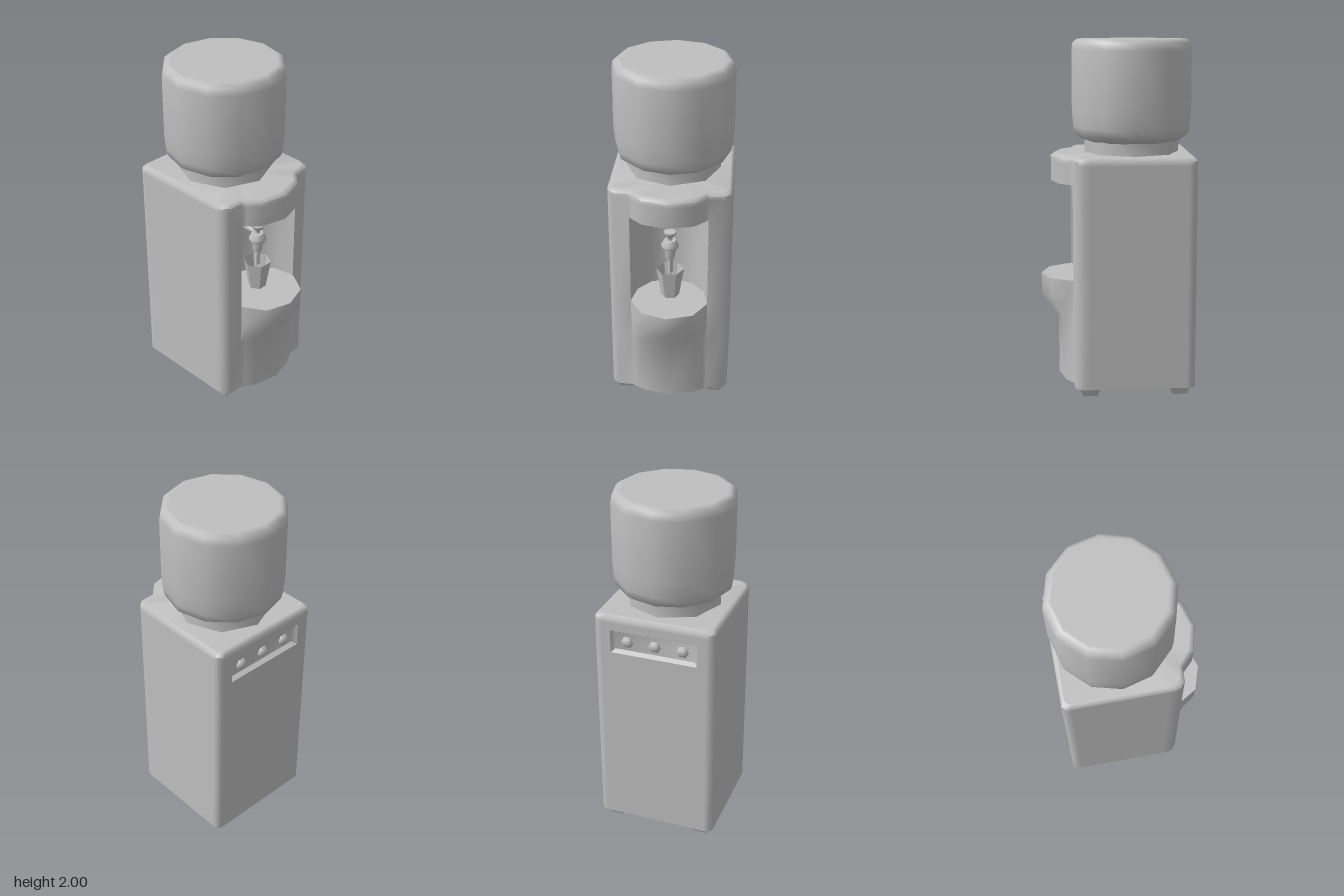
import * as THREE from 'three';
import { toCreasedNormals } from 'three/addons/utils/BufferGeometryUtils.js';

const grey = new THREE.MeshStandardMaterial({ color: 0xbfbfbf, side: THREE.DoubleSide });
grey.name = 'light grey';

function add(parent, name, geometry, x = 0, y = 0, z = 0, crease = 0.9) {
  const mesh = new THREE.Mesh(toCreasedNormals(geometry, crease), grey);
  mesh.name = name;
  mesh.position.set(x, y, z);
  parent.add(mesh);
  return mesh;
}

const lathe = (points, sides) =>
  new THREE.LatheGeometry(points.map(p => new THREE.Vector2(...p)), sides);

// Joins closed rings of [x, y, z] points; the last ring is capped from its centre.
function loft(rings, skip = () => false) {
  const pos = [];
  const same = (a, b) => a.every((v, i) => Math.abs(v - b[i]) < 1e-6);
  const tri = (a, b, c) => {
    if (!same(a, b) && !same(b, c) && !same(a, c)) pos.push(...a, ...b, ...c);
  };
  const n = rings[0].length;
  for (let r = 0; r < rings.length - 1; r++) {
    for (let i = 0; i < n; i++) {
      if (skip(r, i)) continue;
      const j = (i + 1) % n, lo = rings[r], hi = rings[r + 1];
      tri(lo[i], lo[j], hi[j]);
      tri(lo[i], hi[j], hi[i]);
    }
  }
  const top = rings[rings.length - 1];
  const mid = [0, 1, 2].map(k => top.reduce((s, p) => s + p[k], 0) / n);
  for (let i = 0; i < n; i++) tri(top[i], top[(i + 1) % n], mid);
  const g = new THREE.BufferGeometry();
  g.setAttribute('position', new THREE.Float32BufferAttribute(pos, 3));
  return g;
}

// Front halves of the cabinet outline, from the middle to the side of the bulge
const LOWER = [[0, 0.335], [0.145, 0.3], [0.2, 0.268], [0.22, 0.255]];
const SHELF = [[0, 0.433], [0.145, 0.385], [0.2, 0.293], [0.22, 0.255]];
const NICHE = [[0, 0], [0.12, 0.04], [0.195, 0.13], [0.22, 0.255]];
const UPPER = [[0, 0.372], [0.145, 0.332], [0.2, 0.277], [0.22, 0.255]];
const REST = [[0.305, 0.25], [0.337, 0.222], [0.345, 0.19], [0.345, 0.16],
  [0.345, -0.38], [0.345, -0.408], [0.322, -0.43], [0.3, -0.43]];

function cabinetRing(front, y, scale = 1) {
  const half = [...front, ...REST];
  const all = [...half, ...half.slice(1).reverse().map(([x, z]) => [-x, z])];
  return all.map(([x, z]) => [x * scale, y, -0.09 + (z + 0.09) * scale]);
}

function rectRing(w, y0, y1, z) {
  return [[-w, y0, z], [w, y0, z], [w, y1, z], [-w, y1, z]];
}

function createModel() {
  const model = new THREE.Group();
  model.name = 'waterCooler';

  // Cabinet shell, open below, with shelf, dispensing niche and overhang
  const rings = [
    [LOWER, 0.05], [LOWER, 0.4], [SHELF, 0.53], [SHELF, 0.655],
    [NICHE, 0.655], [NICHE, 1.2], [UPPER, 1.2], [UPPER, 1.32],
    [UPPER, 1.345], [UPPER, 1.363, 0.95], [UPPER, 1.363, 0.93],
  ].map(a => cabinetRing(...a));
  const backSegment = 11;
  add(model, 'cabinet', loft(rings, (r, i) => i === backSegment && r < 7));

  // Back wall with a sunken button panel
  const wall = new THREE.Shape();
  wall.moveTo(-0.3, 0.05).lineTo(0.3, 0.05).lineTo(0.3, 1.32).lineTo(-0.3, 1.32).closePath();
  const hole = new THREE.Path();
  hole.moveTo(-0.25, 1.14).lineTo(-0.25, 1.275).lineTo(0.25, 1.275).lineTo(0.25, 1.14).closePath();
  wall.holes.push(hole);
  add(model, 'backWall', new THREE.ShapeGeometry(wall).rotateY(Math.PI).translate(0, 0, -0.43));
  add(model, 'buttonPanel', loft([
    rectRing(0.25, 1.14, 1.275, -0.43), rectRing(0.23, 1.155, 1.26, -0.405)]));
  for (const x of [-0.16, 0, 0.16]) {
    add(model, 'button', new THREE.SphereGeometry(0.036, 6, 4)
      .rotateX(Math.PI / 2).scale(1, 1, 0.65), x, 1.205, -0.406, 1.2);
  }

  // Square hollow feet
  for (const x of [-0.265, 0.265]) {
    for (const z of [-0.345, 0.165]) {
      add(model, 'foot', lathe([[0.085, 0.052], [0.057, 0], [0.04, 0], [0.032, 0.02], [0, 0.02]], 4)
        .rotateY(Math.PI / 4), x, 0, z, 0.3);
    }
  }

  // Collar and bottle
  add(model, 'collar', lathe([[0.27, 1.36], [0.27, 1.46]], 8), 0, 0, -0.0925);
  add(model, 'bottle', lathe([[0, 1.43], [0.26, 1.43], [0.29, 1.44], [0.325, 1.465], [0.335, 1.51],
    [0.342, 1.6], [0.342, 1.94], [0.335, 1.98], [0.31, 2], [0.295, 2], [0, 2]], 12), 0, 0, -0.0925);

  // Tap with knob, nozzle and supply pipe
  const tap = new THREE.Group();
  tap.name = 'tap';
  tap.position.z = 0.17;
  model.add(tap);
  add(tap, 'knob', lathe([[0, 1.072], [0.037, 1.072], [0.034, 1.055], [0.014, 1.035], [0.014, 1.01]], 8));
  add(tap, 'valve', lathe([[0, 1.02], [0.035, 1.02], [0.052, 0.985], [0.048, 0.97], [0.034, 0.965],
    [0.025, 0.9], [0, 0.9]], 8));
  add(tap, 'spout', new THREE.CylinderGeometry(0.017, 0.017, 0.1, 6), 0, 0.86, 0);
  add(tap, 'supplyPipe', new THREE.CylinderGeometry(0.014, 0.014, 0.17, 6).rotateX(Math.PI / 2), 0, 1.02, -0.085);
  add(tap, 'mountPlate', new THREE.BoxGeometry(0.06, 0.07, 0.02), 0, 1.015, -0.16);

  // Cup standing on the shelf
  add(model, 'cup', lathe([[0.08, 0.83], [0.052, 0.657], [0, 0.657]], 6)
    .rotateY(Math.PI / 6), 0, 0, 0.17);

  return model;
}

export { createModel };
